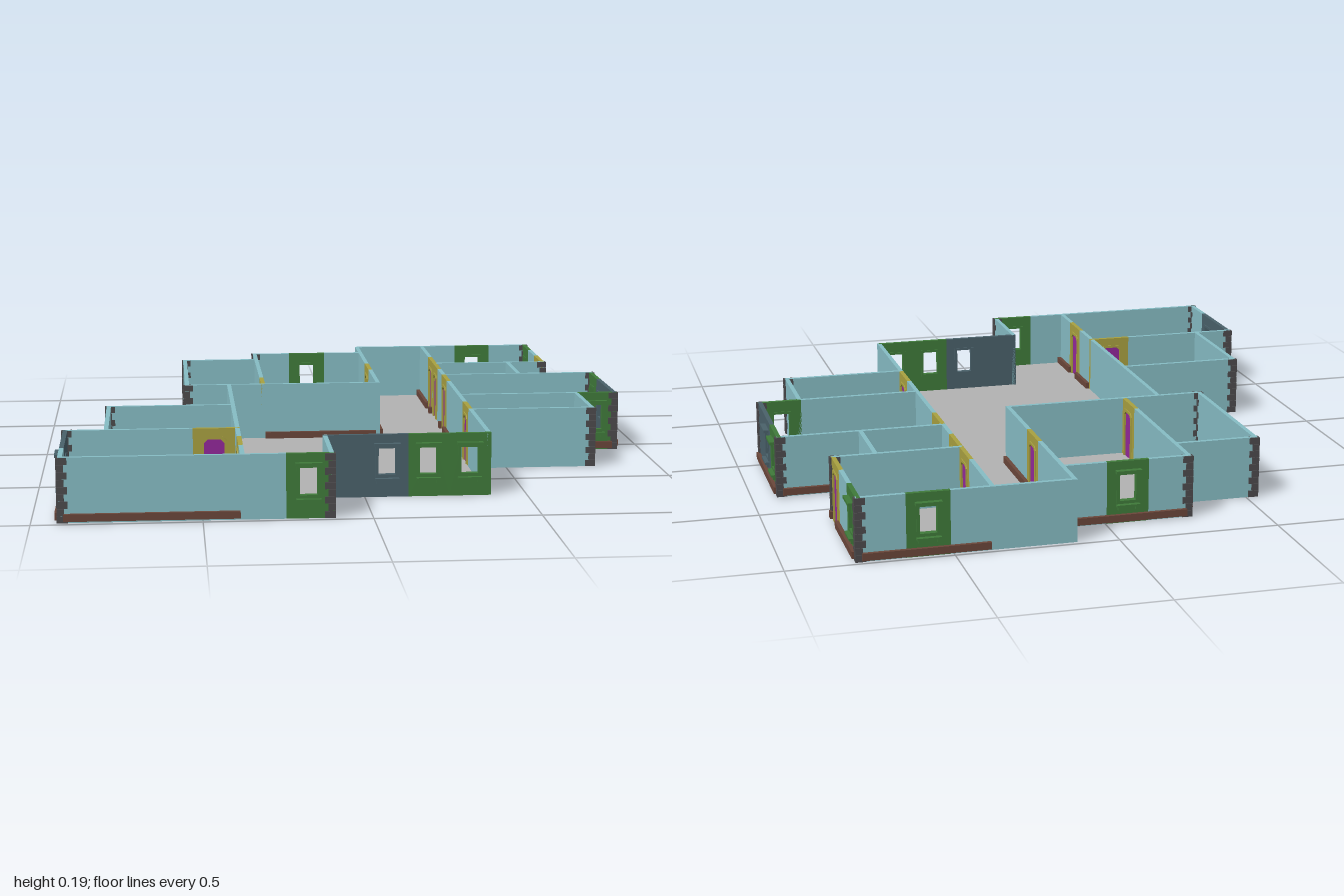
import * as THREE from 'three';

const H = 0.195, T = 0.014, FLOOR = 0.006;
const mat = (color) => new THREE.MeshStandardMaterial({ color, flatShading: true });
const M = {
  wall: mat(0x86bcc4), green: mat(0x3f7a3a), slate: mat(0x4a616a), yellow: mat(0xa8a040),
  door: mat(0x92289a), stone: mat(0x4c4a4c), floor: mat(0xb2b2b2), trim: mat(0x6a463a),
};

function box(parent, name, material, w, h, d, x, y, z) {
  const m = new THREE.Mesh(new THREE.BoxGeometry(w, h, d), material);
  m.name = name;
  m.position.set(x, y, z);
  parent.add(m);
  return m;
}

// Upright slab from an outline, centred on local z = 0
function slab(parent, name, material, shape, depth) {
  const g = new THREE.ExtrudeGeometry(shape, { depth, bevelEnabled: false });
  g.translate(0, 0, -depth / 2);
  const m = new THREE.Mesh(g, material);
  m.name = name;
  parent.add(m);
}

const poly = (pts, C = THREE.Shape) => new C(pts.map(([x, y]) => new THREE.Vector2(x, y)));
const rect = (x0, x1, y0, y1) => [[x0, y0], [x1, y0], [x1, y1], [x0, y1]];
// Door outline with clipped upper corners
const arch = (c, w, h) => [[c - w, 0], [c + w, 0], [c + w, h - 0.012], [c + w - 0.012, h],
  [c - w + 0.012, h], [c - w, h - 0.012]];

// Group whose local x runs from start to end and local z points outwards
function run(parent, name, x0, z0, x1, z1) {
  const g = new THREE.Group();
  g.name = name;
  g.position.set(x0, 0, z0);
  g.rotation.y = Math.atan2(z0 - z1, x1 - x0);
  parent.add(g);
  return g;
}

function windowTrim(g, c, material) {
  const frame = poly(rect(c - 0.035, c + 0.035, 0.062, 0.16));
  frame.holes.push(poly(rect(c - 0.026, c + 0.026, 0.07, 0.152), THREE.Path));
  slab(g, 'windowFrame', material, frame, T + 0.006);
  box(g, 'windowLintel', material, 0.08, 0.009, 0.02, c, 0.164, T / 2 + 0.007);
  box(g, 'windowSill', material, 0.074, 0.007, 0.018, c, 0.056, T / 2 + 0.006);
  for (const s of [-1, 1]) box(g, 'sillBracket', material, 0.008, 0.012, 0.01, c + s * 0.028, 0.048, T / 2 + 0.004);
}

function doorway(g, c) {
  const frame = poly(arch(c, 0.04, 0.168));
  frame.holes.push(poly(arch(c, 0.032, 0.16), THREE.Path));
  slab(g, 'doorFrame', M.yellow, frame, T + 0.006);
  slab(g, 'doorLeaf', M.door, poly(arch(c, 0.032, 0.16)), T * 0.6);
}

const doors = [];

// Wall split into plain stretches and panels; a panel is [type, coordinate of its opening]
function wall(parent, x0, z0, x1, z1, panels = []) {
  const g = run(parent, 'wall', x0, z0, x1, z1);
  const alongX = z0 === z1, start = alongX ? x0 : z0;
  const len = Math.abs(alongX ? x1 - x0 : z1 - z0);
  const piece = (material, a, b, hole) => {
    const s = poly(rect(a, b, 0, H));
    if (hole) s.holes.push(poly(hole, THREE.Path));
    slab(g, 'wallPanel', material, s, T);
  };
  let at = -T / 2;
  const end = len + T / 2;
  panels.map(([type, p]) => [type, Math.abs(p - start), p]).sort((a, b) => a[1] - b[1])
    .forEach(([type, c, p]) => {
      let a = c - (type === 'slate' ? 0.19 : 0.066), b = c + 0.066;
      if (a - at < 0.02) a = at;
      if (end - b < 0.02) b = end;
      if (a > at) piece(M.wall, at, a);
      if (type === 'yellow') {
        piece(M.yellow, a, b, arch(c, 0.032, 0.16));
        doorway(g, c);
        doors.push(alongX ? [p, z0] : [x0, p]);
      } else {
        piece(M[type], a, b, rect(c - 0.027, c + 0.027, 0.068, 0.153));
        windowTrim(g, c, M[type]);
      }
      at = b;
    });
  if (at < end) piece(M.wall, at, end);
}

// Skirting along the inside of a room, left open at doors
function skirting(parent, x0, x1, z0, z1) {
  const c = [[x0, z0], [x1, z0], [x1, z1], [x0, z1]];
  c.forEach(([ax, az], i) => {
    const [bx, bz] = c[(i + 1) % 4];
    const g = run(parent, 'skirting', ax, az, bx, bz);
    const len = Math.hypot(bx - ax, bz - az), dx = (bx - ax) / len, dz = (bz - az) / len;
    const cuts = doors
      .filter(([x, z]) => Math.abs((x - ax) * dz - (z - az) * dx) < 0.02)
      .map(([x, z]) => (x - ax) * dx + (z - az) * dz)
      .filter((d) => d > 0 && d < len).sort((a, b) => a - b);
    let at = T / 2;
    for (const d of [...cuts, len - T / 2 + 0.04]) {
      const b = d - 0.04;
      if (b > at) box(g, 'skirtingBoard', M.trim, b - at, 0.022, 0.012, (at + b) / 2, FLOOR + 0.011, -T / 2 - 0.006);
      at = d + 0.04;
    }
  });
}

// Corner stones, alternately long on one face and on the other; sx, sz point outwards
function quoin(parent, x, z, sx, sz) {
  const g = new THREE.Group();
  g.name = 'cornerStones';
  const n = 9, h = H / n, out = T / 2 + 0.005;
  for (let i = 0; i < n; i++) {
    const w = i % 2 ? 0.022 : 0.032, d = i % 2 ? 0.032 : 0.022;
    box(g, 'cornerStone', M.stone, w, h * 0.94, d, x + sx * (out - w / 2), (i + 0.5) * h, z + sz * (out - d / 2));
  }
  parent.add(g);
}

export function createModel() {
  const model = new THREE.Group();
  model.name = 'house';
  doors.length = 0;

  // Floors: x0, x1, z0, z1, and whether the room has skirting
  const rooms = [
    [0.133, 0.382, -0.977, -0.195], [-0.383, 0.382, -0.195, 0.715], [-0.383, -0.122, 0.715, 0.973],
    [0.382, 0.78, -0.977, -0.58, true], [0.382, 0.65, -0.58, -0.335], [0.382, 0.91, -0.335, 0.063, true],
    [0.382, 0.78, 0.063, 0.33], [-0.265, 0.133, -0.846, -0.195, true], [-0.527, -0.265, -0.72, -0.195],
    [-0.787, -0.383, 0.183, 0.575], [-0.912, -0.383, 0.575, 0.973, true],
  ];
  for (const [a, b, c, d] of rooms)
    box(model, 'floor', M.floor, b - a, FLOOR, d - c, (a + b) / 2, FLOOR / 2, (c + d) / 2);

  // Walls, each running so that its outer face looks outwards
  [
    // front faces
    [-0.912, 0.973, -0.122, 0.973, [['green', -0.19]]],
    [-0.122, 0.715, 0.382, 0.715, [['slate', 0.068], ['green', 0.195], ['green', 0.323]]],
    [0.382, 0.33, 0.78, 0.33],
    [0.382, 0.063, 0.91, 0.063, [['green', 0.842]]],
    [0.382, -0.58, 0.78, -0.58],
    [-0.527, -0.195, 0.133, -0.195],
    // back faces
    [0.78, -0.977, 0.133, -0.977, [['green', 0.575]]],
    [0.91, -0.335, 0.382, -0.335],
    [0.133, -0.846, -0.265, -0.846, [['green', -0.07]]],
    [-0.265, -0.72, -0.527, -0.72],
    [-0.383, 0.183, -0.787, 0.183],
    [-0.383, 0.575, -0.912, 0.575, [['yellow', -0.455]]],
    // right faces
    [0.78, -0.58, 0.78, -0.977, [['yellow', -0.648], ['green', -0.91]]],
    [0.65, -0.335, 0.65, -0.58],
    [0.91, 0.063, 0.91, -0.335, [['slate', -0.13], ['green', -0.265]]],
    [0.78, 0.33, 0.78, 0.063],
    [0.382, 0.715, 0.382, -0.977, [['yellow', 0.26], ['yellow', -0.265], ['yellow', -0.51], ['yellow', -0.648]]],
    [0.133, -0.195, 0.133, -0.977, [['yellow', -0.525]]],
    [-0.122, 0.973, -0.122, 0.715],
    // left faces
    [-0.265, -0.846, -0.265, -0.195, [['yellow', -0.26]]],
    [-0.527, -0.72, -0.527, -0.195],
    [-0.383, -0.195, -0.383, 0.973, [['yellow', 0.775]]],
    [-0.787, 0.183, -0.787, 0.575],
    [-0.912, 0.575, -0.912, 0.973, [['slate', 0.775]]],
  ].forEach((w) => wall(model, ...w));

  for (const [a, b, c, d, trimmed] of rooms) if (trimmed) skirting(model, a, b, c, d);

  // Outer corners
  [
    [-0.122, 0.973, 1, 1], [-0.912, 0.973, -1, 1], [-0.912, 0.575, -1, -1], [-0.787, 0.183, -1, -1],
    [-0.527, -0.195, -1, 1], [-0.527, -0.72, -1, -1], [-0.265, -0.846, -1, -1], [0.78, -0.977, 1, -1],
    [0.78, -0.58, 1, 1], [0.91, -0.335, 1, -1], [0.91, 0.063, 1, 1], [0.78, 0.33, 1, 1],
  ].forEach((q) => quoin(model, ...q));

  return model;
}
